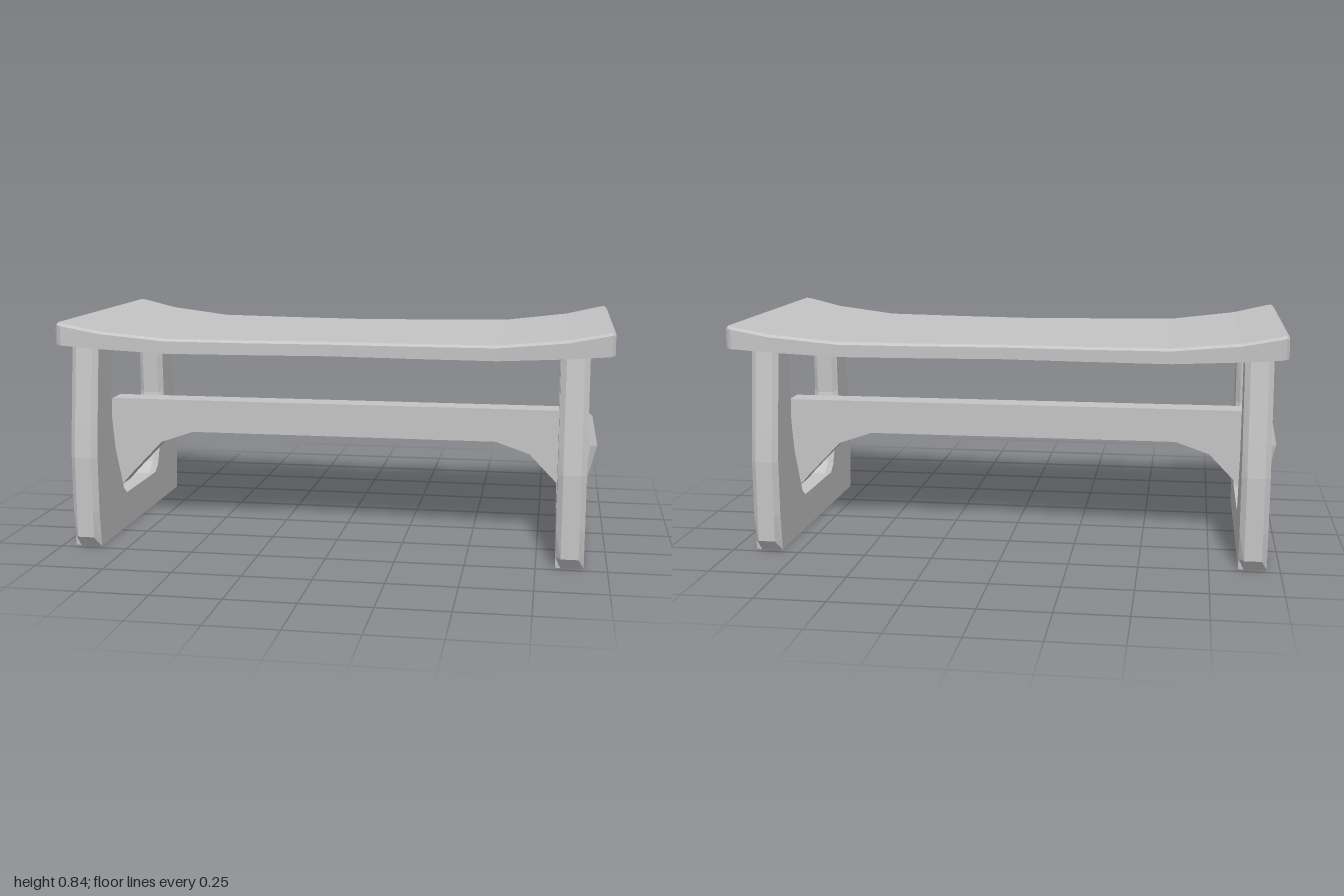
import * as THREE from 'three';

// Joins layers of matching counter-clockwise [u, v] outlines into a closed, flat-faced solid.
// layers: [[w, outline], ...] with w ascending; place maps (u, v, w) to [x, y, z].
function loft(layers, place) {
  const pos = [];
  const tri = (a, b, c) => pos.push(...a, ...b, ...c);
  const rings = layers.map(([w, pts]) => pts.map(([u, v]) => place(u, v, w)));
  const n = rings[0].length;
  for (let k = 0; k < rings.length - 1; k++) {
    const a = rings[k], b = rings[k + 1];
    for (let i = 0; i < n; i++) {
      const j = (i + 1) % n;
      tri(a[i], a[j], b[j]);
      tri(a[i], b[j], b[i]);
    }
  }
  const cap = (k, flip) => {
    const outline = layers[k][1].map(([u, v]) => new THREE.Vector2(u, v));
    for (const [a, b, c] of THREE.ShapeUtils.triangulateShape(outline, [])) {
      const r = rings[k];
      if (flip) tri(r[a], r[c], r[b]);
      else tri(r[a], r[b], r[c]);
    }
  };
  cap(0, true);
  cap(layers.length - 1, false);
  const g = new THREE.BufferGeometry();
  g.setAttribute('position', new THREE.Float32BufferAttribute(pos, 3));
  g.computeVertexNormals();
  return g;
}

// Completes a right-hand half outline with its mirror image
const mirrored = (half) => [...half, ...half.map(([u, v]) => [-u, v]).reverse()];
const alongX = (u, v, w) => [w, v, -u];
const alongZ = (u, v, w) => [u, v, w];

// Curved seat: stations of x, half depth, bottom, top
function seatGeometry() {
  const half = [
    [0, 0.405, 0.724, 0.775],
    [0.3, 0.424, 0.724, 0.776],
    [0.6, 0.443, 0.725, 0.779],
    [0.84, 0.474, 0.741, 0.805],
    [0.975, 0.497, 0.754, 0.834],
    [0.99, 0.487, 0.755, 0.837],
    [1, 0.475, 0.757, 0.83],
  ];
  const stations = [...half.slice(1).reverse().map(([x, ...r]) => [-x, ...r]), ...half];
  return loft(stations.map(([x, d, bottom, top]) => [x, mirrored([
    [d, bottom], [d, top - 0.009], [d - 0.012, top],
  ])]), alongX);
}

// Leg frame: a U-shaped board with chamfered edges
function legGeometry() {
  const face = mirrored([
    [0.475, 0], [0.478, 0.04], [0.488, 0.14], [0.488, 0.34], [0.475, 0.46], [0.435, 0.755],
    [0.31, 0.755], [0.32, 0.46], [0.295, 0.34], [0.215, 0.16], [0.18, 0.135],
  ]);
  const middle = mirrored([
    [0.475, 0], [0.505, 0.04], [0.505, 0.14], [0.505, 0.34], [0.49, 0.46], [0.45, 0.755],
    [0.297, 0.755], [0.302, 0.455], [0.28, 0.34], [0.205, 0.175], [0.15, 0.135],
  ]);
  return loft([[-0.05, face], [-0.031, middle], [0.031, middle], [0.05, face]], alongX);
}

// Stretcher: arched beam with chamfered, pointed ends
function stretcherGeometry() {
  const under = [[0.6, 0.36], [0.73, 0.315], [0.86, 0.18], [0.9, 0.135]];
  const side = mirrored([...under, [0.925, 0.135], [0.957, 0.355], [0.942, 0.43], [0.93, 0.488]]);
  const middle = mirrored([...under, [0.925, 0.135], [0.983, 0.355], [0.963, 0.455], [0.93, 0.488]]);
  return loft([[-0.05, side], [-0.032, middle], [0.032, middle], [0.05, side]], alongZ);
}

export function createModel() {
  const group = new THREE.Group();
  group.name = 'bench';
  const grey = new THREE.MeshStandardMaterial({ color: 0xc4c4c4 });
  grey.name = 'lightGrey';

  const add = (name, geometry, x = 0, z = 0) => {
    const mesh = new THREE.Mesh(geometry, grey);
    mesh.name = name;
    mesh.position.set(x, 0, z);
    group.add(mesh);
  };

  // The base sits slightly off centre beneath the seat
  const baseX = -0.0175;
  const leg = legGeometry();
  add('seat', seatGeometry());
  add('leftLegFrame', leg, baseX + 0.886);
  add('rightLegFrame', leg, baseX - 0.886);
  add('stretcher', stretcherGeometry(), baseX, 0.004);
  return group;
}
